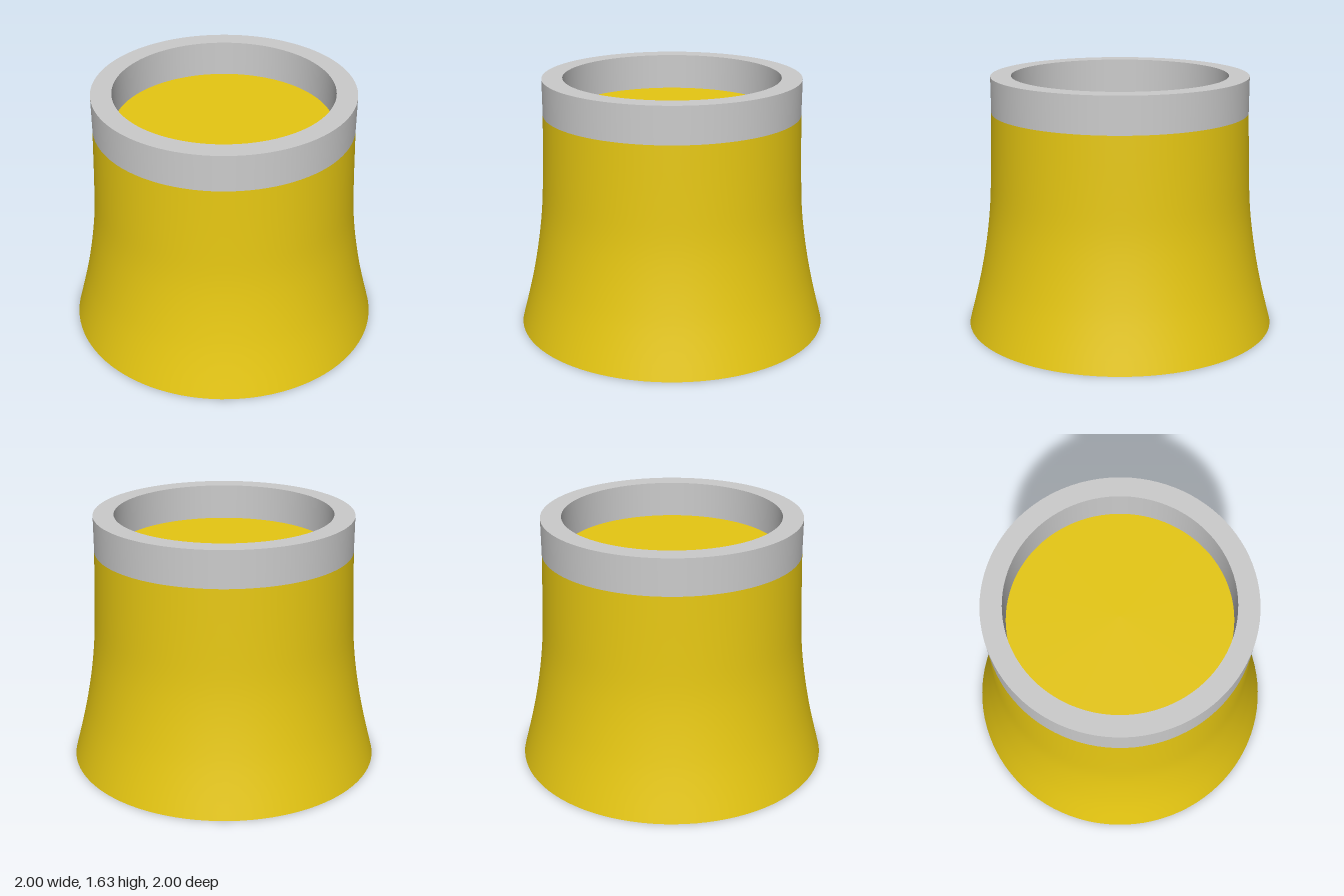
import * as THREE from 'three';

const SEG = 96;
const BODY_TOP = 1.4, TOP = 1.63, TOP_RADIUS = 0.82, BORE = 0.69;
const HOLE_DEPTH = 0.2;

const yellow = new THREE.MeshStandardMaterial({ color: 0xe6c712 });
const yellowInside = new THREE.MeshStandardMaterial({ color: 0xe6c712, side: THREE.BackSide });
const grey = new THREE.MeshStandardMaterial({ color: 0xcccccc });

function addMesh(parent, name, geometry, material) {
  const mesh = new THREE.Mesh(geometry, material);
  mesh.name = name;
  parent.add(mesh);
  return mesh;
}

// Evenly spaced bolt hole centres: [x, z, radius]
function boltCircle(count, circleRadius, startAngle, holeRadius) {
  return Array.from({ length: count }, (_, i) => {
    const a = startAngle + (i / count) * Math.PI * 2;
    return [Math.cos(a) * circleRadius, Math.sin(a) * circleRadius, holeRadius];
  });
}

export function createModel() {
  const model = new THREE.Group();
  model.name = 'flaredPedestal';

  // Flared side wall
  const profile = new THREE.SplineCurve([
    [1, 0], [0.948, 0.2], [0.907, 0.38], [0.87, 0.59],
    [0.845, 0.8], [0.832, 1.05], [TOP_RADIUS, BODY_TOP],
  ].map(([r, y]) => new THREE.Vector2(r, y)));
  addMesh(model, 'flaredBody', new THREE.LatheGeometry(profile.getPoints(24), SEG), yellow);

  // Flat top of the body, seen inside the collar
  const deck = addMesh(model, 'bodyTop', new THREE.CircleGeometry(TOP_RADIUS, SEG), yellow);
  deck.rotation.x = -Math.PI / 2;
  deck.position.y = BODY_TOP;

  // Underside pierced by two bolt circles
  const holes = [
    ...boltCircle(6, 0.69, 0, 0.035),
    ...boltCircle(8, 0.887, Math.PI / 8, 0.03),
  ];
  const baseShape = new THREE.Shape().absarc(0, 0, 1, 0, Math.PI * 2);
  for (const [x, z, r] of holes) {
    baseShape.holes.push(new THREE.Path().absarc(x, z, r, 0, Math.PI * 2, true));
  }
  const base = addMesh(model, 'baseUnderside', new THREE.ShapeGeometry(baseShape, SEG / 2), yellow);
  base.rotation.x = Math.PI / 2;

  // Blind bolt holes: inward-facing wall with a closed end
  const boltHoles = new THREE.Group();
  boltHoles.name = 'boltHoles';
  model.add(boltHoles);
  for (const [x, z, r] of holes) {
    const wall = addMesh(boltHoles, 'boltHoleWall',
      new THREE.CylinderGeometry(r, r, HOLE_DEPTH, 24, 1, true), yellowInside);
    wall.position.set(x, HOLE_DEPTH / 2, z);
    const end = addMesh(boltHoles, 'boltHoleEnd', new THREE.CircleGeometry(r, 24), yellow);
    end.rotation.x = Math.PI / 2;
    end.position.set(x, HOLE_DEPTH, z);
  }

  // Collar ring standing on the body
  const height = TOP - BODY_TOP;
  const collar = new THREE.Group();
  collar.name = 'collar';
  collar.position.y = BODY_TOP;
  model.add(collar);
  const collarWall = (name, r, from, to) => addMesh(collar, name,
    new THREE.LatheGeometry([new THREE.Vector2(r, from), new THREE.Vector2(r, to)], SEG), grey);
  collarWall('collarOuterWall', TOP_RADIUS, 0, height);
  collarWall('collarInnerWall', BORE, height, 0);
  const rim = addMesh(collar, 'collarRim', new THREE.RingGeometry(BORE, TOP_RADIUS, SEG), grey);
  rim.rotation.x = -Math.PI / 2;
  rim.position.y = height;

  return model;
}
